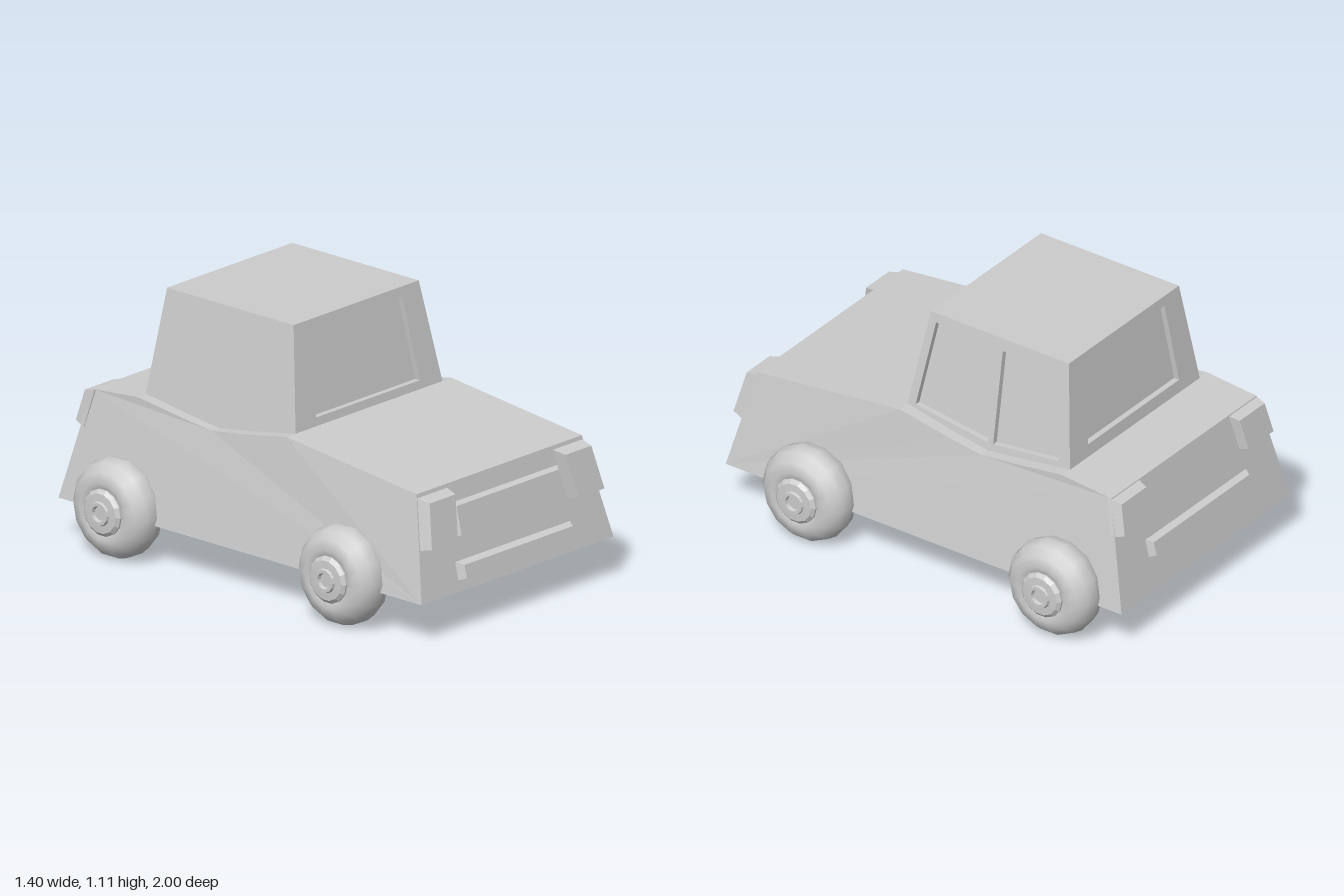
import * as THREE from 'three';

const grey = new THREE.MeshStandardMaterial({ color: 0xcccccc });

function add(parent, name, geometry) {
  const mesh = new THREE.Mesh(geometry, grey);
  mesh.name = name;
  parent.add(mesh);
  return mesh;
}

// Solid between two four-cornered loops, both counter-clockwise seen from the far (b) end
function loft(a, b) {
  const tris = [b[0], b[1], b[2], b[0], b[2], b[3], a[2], a[1], a[0], a[3], a[2], a[0]];
  for (let i = 0; i < 4; i++) {
    const j = (i + 1) % 4;
    tris.push(a[i], a[j], b[j], a[i], b[j], b[i]);
  }
  const g = new THREE.BufferGeometry();
  g.setAttribute('position', new THREE.Float32BufferAttribute(tris.flat(), 3));
  g.computeVertexNormals();
  return g;
}

// Extruded outline with holes, each vertex then moved by a rule
function panel(outline, holes, depth, rule) {
  const shape = new THREE.Shape(outline.map(p => new THREE.Vector2(...p)));
  for (const h of holes) shape.holes.push(new THREE.Path(h.map(p => new THREE.Vector2(...p))));
  const g = new THREE.ExtrudeGeometry(shape, { depth, bevelEnabled: false });
  const pos = g.attributes.position;
  for (let i = 0; i < pos.count; i++) pos.setXYZ(i, ...rule(pos.getX(i), pos.getY(i), pos.getZ(i)));
  g.computeVertexNormals();
  return g;
}

// Slope of the nose and tail, as distance from the middle
const noseZ = y => 0.98 - (y - 0.18) * 0.233;
const tailZ = y => 1.0 - (y - 0.18) * 0.234;

// Bevelled block standing out from the nose (dir 1) or the tail (dir -1)
function block([x0, x1], [y0, y1], bevelX, bevelY, out, dir, lean = 0) {
  const face = dir > 0 ? noseZ : tailZ;
  const rect = (ix, iy, o) => [[x0 + ix, y0 + iy], [x1 - ix, y0 + iy], [x1 - ix, y1 - iy], [x0 + ix, y1 - iy]]
    .map(([x, y]) => [dir * (x + lean * (y - y0)), y, dir * (face(y) + o)]);
  return loft(rect(0, 0, -0.02), rect(bevelX, bevelY, out));
}

function makeBody() {
  const body = new THREE.Group();
  body.name = 'body';

  // Lower shell: side profile in (z, y), wider at the sill than at the shoulder
  const profile = [[0.98, 0.18], [0.88, 0.61], [0.17, 0.69], [-0.08, 0.645], [-0.24, 0.622],
    [-0.4, 0.64], [-0.64, 0.672], [-0.89, 0.65], [-1.0, 0.18]];
  add(body, 'lowerShell', panel(profile, [], 1,
    (z, y, d) => [(0.5 - d) * 2 * (y < 0.2 ? 0.575 : 0.495), y, z]));

  // Lights
  for (const s of [-1, 1]) {
    const span = (a, b) => s > 0 ? [a, b] : [-b, -a];
    add(body, 'headlight', block(span(0.35, 0.535), [0.385, 0.598], 0.015, 0.016, 0.055, 1, -0.18 * s));
    add(body, 'tailLight', block(span(0.325, 0.525), [0.488, 0.65], 0.015, 0.016, 0.042, -1, -0.15 * s));
  }

  // Grille and bumpers
  add(body, 'grille', block([-0.345, 0.345], [0.388, 0.537], 0.04, 0.015, 0.025, 1));
  add(body, 'frontBumper', block([-0.355, 0.355], [0.22, 0.305], 0.03, 0.015, 0.032, 1));
  add(body, 'rearBumper', block([-0.355, 0.355], [0.32, 0.407], 0.03, 0.015, 0.028, -1));
  return body;
}

function makeCabin() {
  const cabin = new THREE.Group();
  cabin.name = 'cabin';
  const low = 0.58, roof = 1.12, t = 0.025;
  const halfW = y => 0.375 + (roof - y) * 0.151;
  const frontZ = y => 0.10 + (roof - y) * 0.163;
  const backZ = y => 0.59 + (roof - y) * 0.122;

  // Inner block: its sides are the glass, its top the roof
  const ring = y => [[-1, 1], [1, 1], [1, -1], [-1, -1]].map(([sx, sz]) =>
    [sx * (halfW(y) - t), y, sz > 0 ? frontZ(y) - t : t - backZ(y)]);
  add(cabin, 'glassAndRoof', loft(ring(low), ring(roof)));

  // Windscreen and rear window frames
  const endOutline = [[-halfW(low), low], [halfW(low), low], [halfW(roof), roof], [-halfW(roof), roof]];
  const endHole = [[-0.31, 0.725], [0.31, 0.725], [0.27, 1.08], [-0.27, 1.08]];
  for (const s of [1, -1]) {
    const endZ = s > 0 ? frontZ : backZ;
    add(cabin, s > 0 ? 'windscreenFrame' : 'rearWindowFrame',
      panel(endOutline, [endHole], t, (x, y, d) => [-s * x, y, s * (endZ(y) - d)]));
  }

  // Side frames with two windows each, in (z, y)
  const sideOutline = [[frontZ(low), low], [frontZ(roof), roof], [-backZ(roof), roof], [-backZ(low), low]];
  const sideHoles = [
    [[0.07, 1.08], [-0.225, 1.066], [-0.235, 0.656], [0.13, 0.7]],
    [[-0.265, 1.066], [-0.55, 1.08], [-0.585, 0.69], [-0.262, 0.656]]];
  for (const s of [1, -1]) {
    const flip = pts => pts.map(([z, y]) => [s * z, y]);
    add(cabin, s > 0 ? 'leftWindowFrame' : 'rightWindowFrame',
      panel(flip(sideOutline), sideHoles.map(flip), t, (z, y, d) => [s * (halfW(y) - d), y, s * z]));
  }
  return cabin;
}

// Wheel turned around its axle, outer side towards +y before it is laid over
function makeWheel() {
  const wheel = new THREE.Group();
  wheel.name = 'wheel';
  const tyre = [];
  for (let i = 0; i <= 12; i++) {
    const a = -Math.PI / 2 + i / 12 * Math.PI * 2;
    tyre.push(new THREE.Vector2(0.125 + 0.087 * Math.cos(a), 0.095 * Math.sin(a)));
  }
  add(wheel, 'tyre', new THREE.LatheGeometry(tyre, 14));

  const hub = [[0, 0.03], [0.1, 0.03], [0.1, 0.095], [0.085, 0.108], [0.052, 0.11],
    [0.048, 0.12], [0.034, 0.12], [0.03, 0.105], [0, 0.105]];
  const hubGeometry = new THREE.LatheGeometry(hub.map(p => new THREE.Vector2(...p)), 14).toNonIndexed();
  hubGeometry.computeVertexNormals();
  add(wheel, 'hub', hubGeometry);
  return wheel;
}

export function createModel() {
  const car = new THREE.Group();
  car.name = 'car';

  const shell = new THREE.Group();
  shell.name = 'shell';
  shell.position.x = -0.01;
  shell.add(makeBody(), makeCabin());
  car.add(shell);

  // Four wheels
  for (const s of [1, -1]) {
    for (const z of [0.55, -0.68]) {
      const wheel = makeWheel();
      wheel.rotation.z = -s * Math.PI / 2;
      wheel.position.set(s * 0.58, 0.212, z);
      car.add(wheel);
    }
  }
  return car;
}
